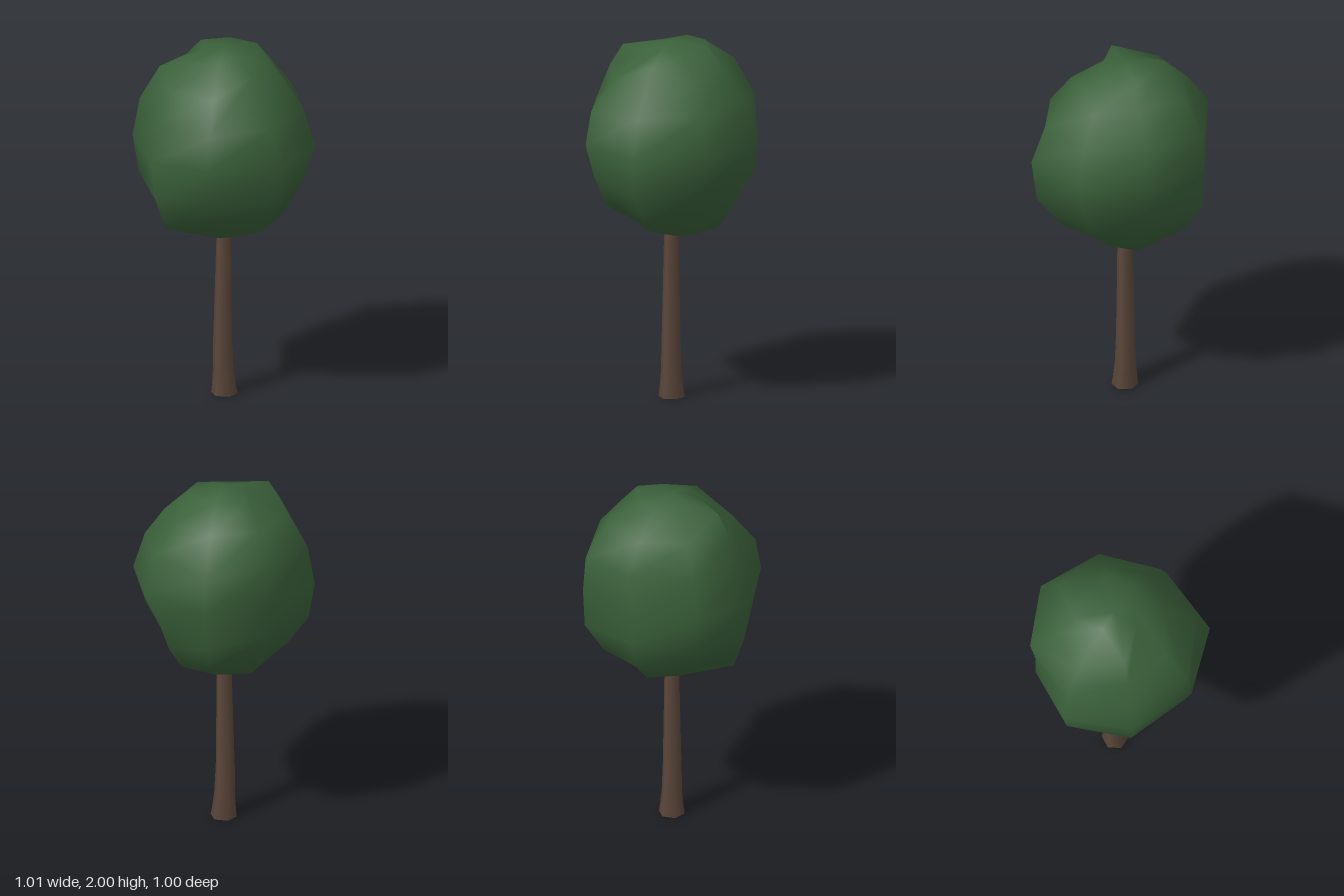
import * as THREE from 'three';

// Crown meridians, from +x turning towards +z every 45 degrees.
// Each lists [radius, height] from the lowest ring to the highest.
const MERIDIANS = [
  [[0.18, 0.94], [0.335, 1.07], [0.435, 1.25], [0.505, 1.46], [0.44, 1.67], [0.33, 1.83], [0.19, 1.95]],
  [[0.12, 0.94], [0.36, 1.04], [0.497, 1.22], [0.527, 1.45], [0.45, 1.66], [0.27, 1.91], [0.11, 1.98]],
  [[0.13, 0.94], [0.31, 1.09], [0.45, 1.27], [0.502, 1.46], [0.47, 1.64], [0.34, 1.81], [0.14, 1.96]],
  [[0.195, 0.96], [0.39, 1.03], [0.455, 1.21], [0.486, 1.43], [0.44, 1.65], [0.365, 1.83], [0.29, 1.95]],
  [[0.19, 0.96], [0.35, 1.08], [0.47, 1.25], [0.505, 1.46], [0.465, 1.68], [0.355, 1.87], [0.12, 1.98]],
  [[0.265, 0.97], [0.376, 1.09], [0.44, 1.27], [0.44, 1.48], [0.47, 1.7], [0.35, 1.86], [0.217, 1.98]],
  [[0.2, 0.95], [0.38, 1.07], [0.49, 1.24], [0.5, 1.46], [0.485, 1.66], [0.365, 1.87], [0.19, 1.99]],
  [[0.275, 0.975], [0.355, 1.1], [0.42, 1.28], [0.517, 1.48], [0.45, 1.7], [0.32, 1.86], [0.217, 1.98]],
];

// Lumpy closed ball with smooth normals
function crownGeometry() {
  const sides = MERIDIANS.length, rings = MERIDIANS[0].length;
  const positions = [], indices = [];
  MERIDIANS.forEach((meridian, s) => {
    const angle = (s / sides) * Math.PI * 2;
    for (const [r, y] of meridian) positions.push(r * Math.cos(angle), y, r * Math.sin(angle));
  });
  const bottom = sides * rings, top = bottom + 1;
  positions.push(0, 0.915, 0, 0, 2, 0);

  for (let s = 0; s < sides; s++) {
    const here = s * rings, next = ((s + 1) % sides) * rings;
    indices.push(bottom, here, next);
    for (let i = 0; i < rings - 1; i++) {
      indices.push(here + i, here + i + 1, next + i);
      indices.push(here + i + 1, next + i + 1, next + i);
    }
    indices.push(here + rings - 1, top, next + rings - 1);
  }
  const geometry = new THREE.BufferGeometry();
  geometry.setAttribute('position', new THREE.Float32BufferAttribute(positions, 3));
  geometry.setIndex(indices);
  geometry.computeVertexNormals();
  return geometry;
}

// Six-sided trunk, flared at the foot and leaning slightly
function trunkGeometry() {
  // [height, radius, x offset]
  const rings = [[0, 0.073, 0.002], [0.04, 0.067, 0], [0.13, 0.058, -0.003], [0.3, 0.053, -0.007], [0.6, 0.047, -0.004], [1, 0.04, 0.001]];
  const geometry = new THREE.CylinderGeometry(1, 1, 1, 6, rings.length - 1);
  geometry.rotateY(Math.PI / 6);
  const p = geometry.attributes.position;
  for (let i = 0; i < p.count; i++) {
    const [y, r, dx] = rings[Math.round((p.getY(i) + 0.5) * (rings.length - 1))];
    p.setXYZ(i, p.getX(i) * r + dx, y, p.getZ(i) * r);
  }
  return geometry;
}

export function createModel() {
  const leafGreen = new THREE.MeshStandardMaterial({ color: 0x3b613b });
  leafGreen.name = 'leaf green';
  const barkBrown = new THREE.MeshStandardMaterial({ color: 0x5c483c });
  barkBrown.name = 'bark brown';

  const tree = new THREE.Group();
  tree.name = 'tree';
  const trunk = new THREE.Mesh(trunkGeometry(), barkBrown);
  trunk.name = 'trunk';
  const crown = new THREE.Mesh(crownGeometry(), leafGreen);
  crown.name = 'crown';
  tree.add(trunk, crown);
  return tree;
}
